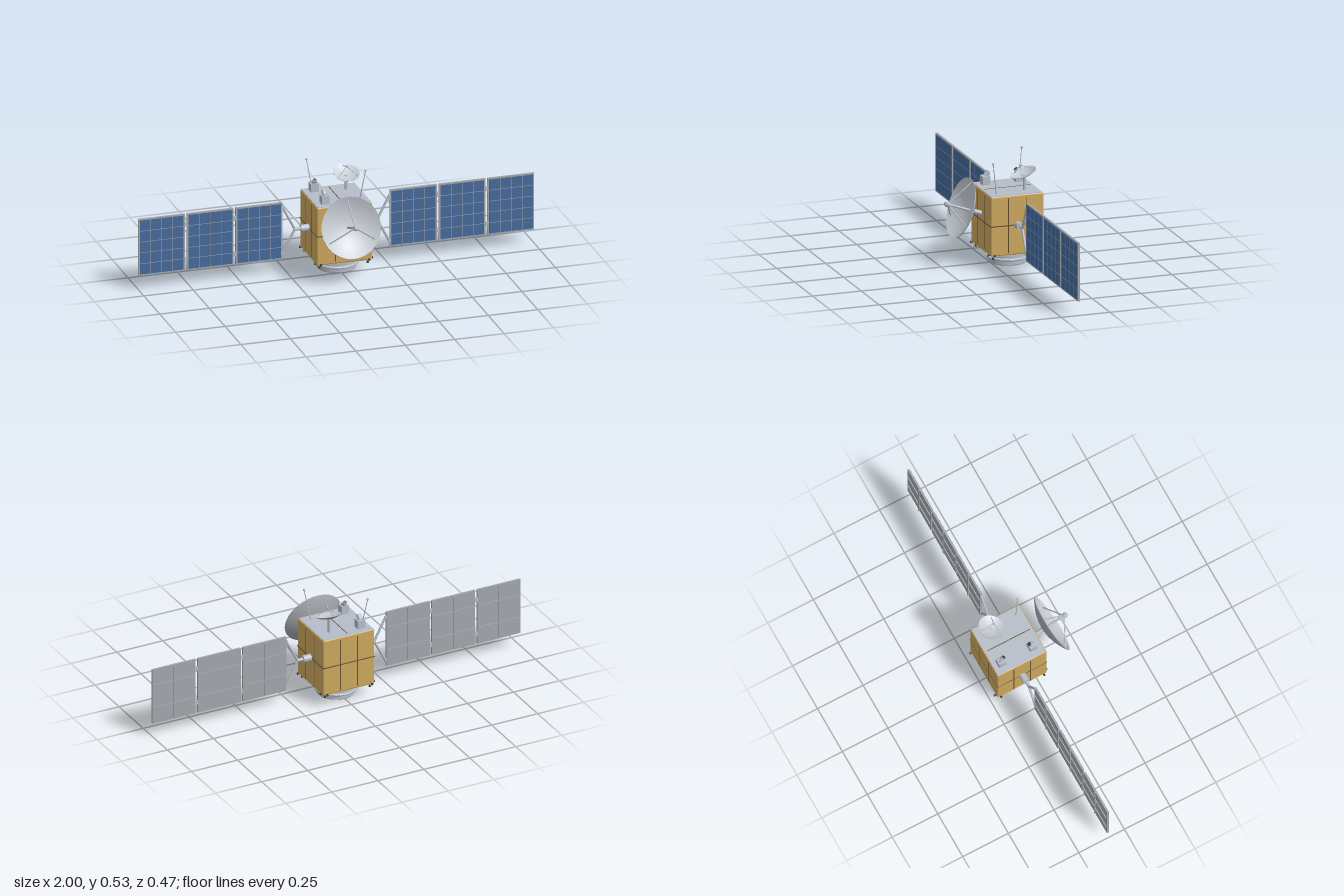
import * as THREE from 'three';
import { RoundedBoxGeometry } from 'three/addons/geometries/RoundedBoxGeometry.js';

const mat = (name, color, extra = {}) =>
  Object.assign(new THREE.MeshStandardMaterial({ color, ...extra }), { name });
const V = (x, y, z) => new THREE.Vector3(x, y, z);
const UP = V(0, 1, 0);
const CZ = -0.09; // z of the body axis

export function createModel() {
  const foil = mat('goldFoil', 0xcda85f);
  const seam = mat('darkSeam', 0x66542f);
  const metal = mat('lightMetal', 0xb6bdc8);
  const dishWhite = mat('dishFace', 0xc9ced6);
  const dishGrey = mat('dishBack', 0xa6a9ae);
  const panelGrey = mat('panelGrey', 0xa3a8ae);
  const cellBlue = mat('cellBlue', 0x466a9c);
  const dark = mat('darkNozzle', 0x3c3f45);

  const model = new THREE.Group();
  model.name = 'satellite';

  const add = (parent, name, geometry, material, x = 0, y = 0, z = 0) => {
    const m = new THREE.Mesh(geometry, material);
    m.name = name;
    m.position.set(x, y, z);
    parent.add(m);
    return m;
  };
  const box = (parent, name, material, w, h, d, x, y, z) =>
    add(parent, name, new THREE.BoxGeometry(w, h, d), material, x, y, z);
  // Round bar from a to b, r0 at a and r1 at b
  const rod = (parent, name, material, a, b, r0, r1 = r0, sides = 16) => {
    const dir = b.clone().sub(a);
    const m = add(parent, name, new THREE.CylinderGeometry(r1, r0, dir.length(), sides), material);
    m.position.copy(a).add(b).multiplyScalar(0.5);
    m.quaternion.setFromUnitVectors(UP, dir.normalize());
    return m;
  };

  // Body with its top and bottom plates
  add(model, 'body', new RoundedBoxGeometry(0.278, 0.298, 0.27, 3, 0.007), foil, 0, 0.217, CZ);
  box(model, 'topPlate', metal, 0.268, 0.004, 0.26, 0, 0.3655, CZ);
  box(model, 'bottomPlate', metal, 0.256, 0.008, 0.25, 0, 0.067, CZ);
  box(model, 'topSeam', seam, 0.004, 0.002, 0.235, 0, 0.3675, CZ);

  // Blanket seams on the four sides
  box(model, 'beltSeam', seam, 0.28, 0.005, 0.272, 0, 0.217, CZ);
  for (const s of [-1, 1]) {
    box(model, 'sideSeam', seam, 0.28, 0.272, 0.004, 0, 0.216, CZ + s * 0.045);
    box(model, 'frontBackSeam', seam, 0.004, 0.272, 0.272, s * 0.046, 0.216, CZ);
  }

  // Launch adapter ring, open underneath
  const ring = [[0.001, 0.05], [0.06, 0.05], [0.06, 0.004], [0.064, 0], [0.092, 0], [0.096, 0.004],
    [0.096, 0.025], [0.106, 0.025], [0.109, 0.028], [0.109, 0.033], [0.106, 0.036],
    [0.096, 0.036], [0.096, 0.059], [0.092, 0.064], [0.001, 0.064]];
  // Separate lathe segments keep the edges crisp
  const adapter = new THREE.Group();
  adapter.name = 'adapterRing';
  adapter.position.z = CZ;
  model.add(adapter);
  for (let i = 0; i + 1 < ring.length; i++) {
    const pts = [ring[i], ring[i + 1]].map(p => new THREE.Vector2(...p));
    add(adapter, 'adapterFace', new THREE.LatheGeometry(pts, 48), metal);
  }

  // Corner thrusters: one outward, one fore or aft, one down
  for (const sx of [-1, 1]) for (const sz of [-1, 1]) {
    const x = sx * 0.122, z = CZ + sz * 0.118;
    rod(model, 'sideThruster', dark, V(sx * 0.136, 0.073, z), V(sx * 0.148, 0.073, z), 0.003, 0.006);
    rod(model, 'foreAftThruster', dark, V(x, 0.073, CZ + sz * 0.133), V(x, 0.073, CZ + sz * 0.145), 0.003, 0.006);
    rod(model, 'downThruster', dark, V(x, 0.064, z), V(x, 0.048, z), 0.003, 0.006);
  }

  // Dish built along +y with its rim centre at the origin, then aimed
  const dish = (name, R, depth, focus, strutR, centre, aim) => {
    const g = new THREE.Group();
    g.name = name;
    const t = R * 0.02;
    const curve = off => Array.from({ length: 15 }, (_, i) => {
      const k = i / 14;
      return new THREE.Vector2(Math.max(R * k, 1e-4), depth * (k * k - 1) + off);
    });
    add(g, 'dishBack', new THREE.LatheGeometry(curve(-t), 56), dishGrey);
    add(g, 'dishFace', new THREE.LatheGeometry(curve(0).reverse(), 56), dishWhite);
    const rim = [new THREE.Vector2(R, -t), new THREE.Vector2(R, 0)];
    add(g, 'dishRim', new THREE.LatheGeometry(rim, 56), dishGrey);
    for (let i = 0; i < 3; i++) {
      const a = i * Math.PI * 2 / 3, r = R * 0.88;
      rod(g, 'feedStrut', metal, V(Math.sin(a) * r, depth * (0.774 - 1), -Math.cos(a) * r),
        V(0, focus, 0), strutR, strutR, 10);
    }
    g.position.copy(centre);
    g.quaternion.setFromUnitVectors(UP, aim.normalize());
    model.add(g);
    return g;
  };

  // Main dish with feed and mounting arm
  const main = dish('mainDish', 0.15, 0.05, 0.07, 0.0033, V(0, 0.288, 0.15), V(0, 0.333, 0.943));
  rod(main, 'feedHorn', metal, V(0, 0.06, 0), V(0, 0.078, 0), 0.011, 0.014, 24);
  rod(main, 'feedCap', metal, V(0, 0.078, 0), V(0, 0.086, 0), 0.014, 0.008, 24);
  rod(main, 'feedStem', metal, V(0, -0.05, 0), V(0, 0.062, 0), 0.006);
  rod(main, 'dishArm', metal, V(0, -0.125, 0), V(0, -0.05, 0), 0.012, 0.012, 24);

  // Small dish on a post
  const small = dish('smallDish', 0.065, 0.019, 0.038, 0.0018, V(0.069, 0.456, -0.145), V(0, 0.944, 0.33));
  add(small, 'smallFeed', new THREE.SphereGeometry(0.006, 16, 12), metal, 0, 0.038, 0);
  rod(model, 'smallDishPost', metal, V(0.069, 0.366, -0.151), V(0.069, 0.44, -0.151), 0.007);

  // Star trackers, tilted toward each other
  for (const [z, s] of [[-0.007, -1], [-0.177, 1]]) {
    box(model, 'trackerBase', metal, 0.04, 0.044, 0.04, -0.085, 0.388, z);
    const axis = V(0, 0.78, s * 0.625);
    const a = V(-0.085, 0.408, z + s * -0.002);
    const b = a.clone().addScaledVector(axis, 0.027);
    rod(model, 'trackerHead', metal, a, b, 0.012, 0.012, 24);
    rod(model, 'trackerLens', dark, b, b.clone().addScaledVector(axis, 0.001), 0.009, 0.009, 24);
  }

  // Whip antennas with ball tips, on opposite corners
  for (const s of [-1, 1]) {
    const tip = V(s * 0.113, 0.524, CZ + s * 0.114);
    rod(model, 'whipAntenna', metal, V(s * 0.09, 0.366, CZ + s * 0.09), tip, 0.0028, 0.002, 10);
    add(model, 'antennaTip', new THREE.SphereGeometry(0.006, 16, 12), metal, tip.x, tip.y, tip.z);
  }

  // Solar wings
  const W = 0.235, H = 0.293, CY = 0.217;
  for (const s of [-1, 1]) {
    const wing = new THREE.Group();
    wing.name = s > 0 ? 'leftWing' : 'rightWing';
    wing.position.set(0, CY, CZ);
    model.add(wing);

    // Boom and forked yoke
    rod(wing, 'driveHub', metal, V(s * 0.135, 0, 0), V(s * 0.18, 0, 0), 0.018, 0.018, 28);
    rod(wing, 'boom', metal, V(s * 0.18, 0, 0), V(s * 0.212, 0, 0), 0.008);
    for (const v of [-1, 1]) {
      rod(wing, 'yokeArm', metal, V(s * 0.208, 0, 0), V(s * 0.268, v * 0.115, 0), 0.006);
      box(wing, 'yokeFoot', metal, 0.014, 0.014, 0.01, s * 0.27, v * 0.115, 0);
    }

    for (let p = 0; p < 3; p++) {
      const cx = s * (0.2725 + W / 2 + p * 0.2463);
      box(wing, 'panel', panelGrey, W, H, 0.01, cx, 0, -0.001);
      // Cells, 4 by 5
      const cw = (W - 0.012) / 4, ch = (H - 0.012) / 5;
      for (let i = 0; i < 4; i++) for (let j = 0; j < 5; j++)
        box(wing, 'solarCell', cellBlue, cw - 0.003, ch - 0.003, 0.002,
          cx + (i - 1.5) * cw, (j - 2) * ch, 0.0045);
      // Stiffening ribs on the back
      box(wing, 'backRib', panelGrey, 0.007, H - 0.01, 0.006, cx, 0, -0.008);
      for (const v of [-1, 1]) {
        box(wing, 'backCrossRib', panelGrey, W - 0.01, 0.007, 0.006, cx, v * 0.06, -0.008);
        // Hinges to the next panel
        if (p < 2) box(wing, 'hinge', metal, 0.018, 0.024, 0.008, cx + s * 0.1232, v * 0.092, -0.002);
      }
    }
  }
  return model;
}
